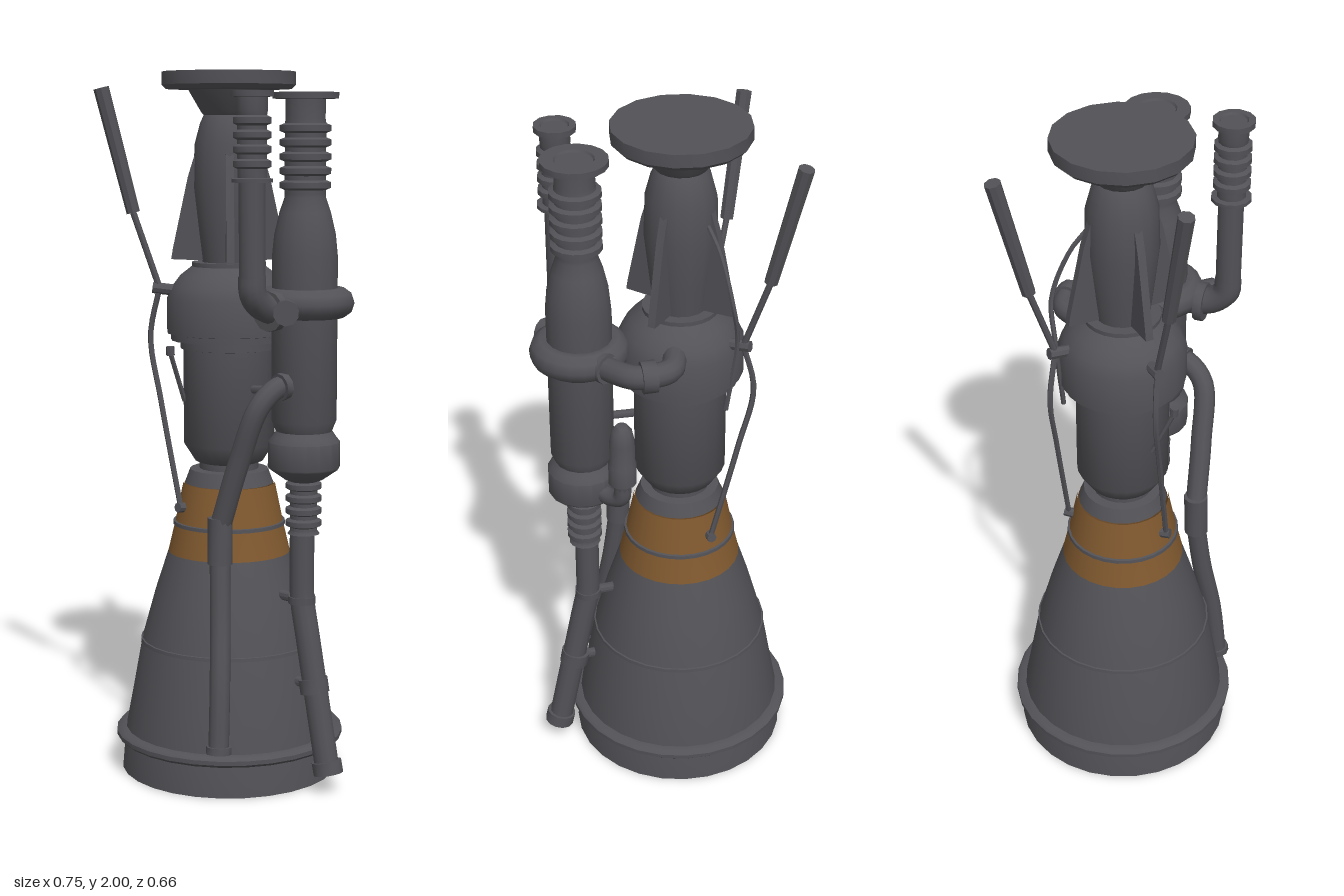
import * as THREE from 'three';
import { toCreasedNormals } from 'three/addons/utils/BufferGeometryUtils.js';

const metal = new THREE.MeshStandardMaterial({ color: 0x525257 });
metal.name = 'dark metal';
const copper = new THREE.MeshStandardMaterial({ color: 0x80592f });
copper.name = 'copper brown';

const V = (x, y, z) => new THREE.Vector3(x, y, z);

export function createModel() {
  const model = new THREE.Group();
  model.name = 'rocketEngine';

  const add = (name, geo, mat = metal, parent = model) => {
    const mesh = new THREE.Mesh(toCreasedNormals(geo, 0.7), mat);
    mesh.name = name;
    parent.add(mesh);
    return mesh;
  };
  // Turned part: [radius, height] pairs, bottom to top
  const lathe = (name, pts, x, z, segs = 20, mat = metal) => {
    const mesh = add(name, new THREE.LatheGeometry(pts.map(p => new THREE.Vector2(p[0], p[1])), segs), mat);
    mesh.position.set(x, 0, z);
    return mesh;
  };
  // Straight capped bar between two points
  const rod = (name, a, b, ra, rb = ra, segs = 10) => {
    const d = b.clone().sub(a);
    const mesh = add(name, new THREE.CylinderGeometry(rb, ra, d.length(), segs));
    mesh.position.copy(a).add(b).multiplyScalar(0.5);
    mesh.quaternion.setFromUnitVectors(V(0, 1, 0), d.normalize());
    return mesh;
  };
  const pipe = (name, pts, r, steps = 20, segs = 10) =>
    add(name, new THREE.TubeGeometry(new THREE.CatmullRomCurve3(pts, false, 'centripetal'), steps, r, segs));
  // Bellows profile with rounded ribs
  const bellows = (y0, y1, n, rIn, rOut) => {
    const out = [], h = (y1 - y0) / n;
    for (let i = 0; i < n; i++) {
      const y = y0 + i * h;
      out.push([rIn, y], [rIn, y + h * 0.25], [rOut, y + h * 0.4], [rOut, y + h * 0.8], [rIn, y + h * 0.95]);
    }
    return out;
  };

  const cx = -0.05, px = 0.235, dz = 0.212;

  // Nozzle bell
  lathe('nozzleSkirt', [[0.314, 0], [0.305, 0.105], [0.283, 0.22], [0.254, 0.38], [0.215, 0.52], [0.176, 0.64]], cx, 0, 28);
  lathe('nozzleBand', [[0.176, 0.64], [0.157, 0.72], [0.132, 0.84]], cx, 0, 28, copper);
  lathe('nozzleLining', [[0.07, 0.88], [0.128, 0.84], [0.171, 0.64], [0.249, 0.38], [0.3, 0.105], [0.314, 0]], cx, 0, 28, copper);
  lathe('nozzleHoop', [[0.304, 0.09], [0.322, 0.092], [0.33, 0.1], [0.33, 0.112], [0.322, 0.12], [0.3, 0.122]], cx, 0, 28);
  for (const [y, r] of [[0.38, 0.258], [0.725, 0.162]])
    lathe('nozzleSeam', [[r - 0.01, y - 0.007], [r, y - 0.005], [r - 0.001, y + 0.005], [r - 0.012, y + 0.007]], cx, 0, 28);

  // Combustion chamber and injector dome
  lathe('combustionChamber', [[0.1, 0.838], [0.127, 0.84], [0.112, 0.88], [0.085, 0.882], [0.085, 0.9], [0.098, 0.905],
    [0.13, 0.955], [0.13, 1.25], [0.165, 1.252], [0.165, 1.27], [0.176, 1.272], [0.176, 1.37], [0.16, 1.405],
    [0.137, 1.435], [0.105, 1.46], [0.105, 1.472], [0, 1.472]], cx, 0, 22);
  lathe('chamberHoop', [[0.12, 1.225], [0.138, 1.228], [0.138, 1.25]], cx, 0, 22);

  // Gimbal post and mounting plate
  lathe('gimbalPost', [[0.075, 1.47], [0.085, 1.55], [0.1, 1.68], [0.096, 1.8], [0.08, 1.86], [0.07, 1.88],
    [0.078, 1.89], [0.113, 1.95], [0.175, 1.952], [0.187, 1.964], [0.187, 2], [0, 2]], cx, 0, 16);

  // Four diagonal gussets on the post
  const fin = new THREE.Shape([[0.04, 1.475], [0.163, 1.48], [0.158, 1.51], [0.115, 1.71], [0.09, 1.79], [0.04, 1.79]]
    .map(p => new THREE.Vector2(p[0], p[1])));
  for (let i = 0; i < 4; i++) {
    const g = new THREE.ExtrudeGeometry(fin, { depth: 0.022, bevelEnabled: false });
    g.translate(0, 0, -0.011);
    const m = add('gusset', g);
    m.position.x = cx;
    m.rotation.y = Math.PI / 4 + i * Math.PI / 2;
  }

  // Turbopump stack
  lathe('turbopump', [[0, 0.73], [0.045, 0.73], ...bellows(0.74, 0.88, 4, 0.038, 0.05), [0.055, 0.885], [0.098, 0.915],
    [0.1, 0.92], [0.1, 0.99], [0.088, 1.005], [0.078, 1.02], [0.09, 1.05], [0.09, 1.5], [0.084, 1.56], [0.07, 1.62],
    [0.056, 1.66], ...bellows(1.67, 1.86, 5, 0.056, 0.07), [0.054, 1.87], [0.054, 1.922], [0.09, 1.923],
    [0.09, 1.94], [0.054, 1.94], [0.05, 1.934], [0, 1.934]], px, 0, 16);
  const volute = add('pumpVolute', new THREE.TorusGeometry(0.095, 0.042, 10, 22).rotateX(Math.PI / 2));
  volute.position.set(px, 1.375, 0);

  // Discharge pipe below the pump
  pipe('dischargePipe', [V(0.23, 0.74, 0), V(0.23, 0.62, 0), V(0.232, 0.54, 0), V(0.252, 0.44, 0), V(0.33, 0.06, 0)], 0.035, 24, 12);
  rod('dischargeCollar', V(0.23, 0.53, 0), V(0.23, 0.55, 0), 0.039, 0.039, 12);
  rod('dischargeClamp', V(0.273, 0.32, 0), V(0.281, 0.28, 0), 0.042, 0.042, 12);
  rod('dischargeEnd', V(0.325, 0.09, 0), V(0.333, 0.055, 0), 0.043, 0.043, 12);
  for (const y of [0.54, 0.3])
    rod('dischargeBracket', V(cx + 0.2, y, 0), V(0.25, y, 0), 0.014);

  // Front inlet duct with bellows and elbow into the pump
  lathe('inletDuct', [[0.036, 1.42], [0.036, 1.703], [0.056, 1.704], [0.056, 1.714], [0.04, 1.716],
    ...bellows(1.73, 1.88, 4, 0.04, 0.052), [0.042, 1.89], [0.042, 1.925], [0.058, 1.926], [0.058, 1.942],
    [0.04, 1.942], [0.036, 1.936], [0, 1.936]], px, dz, 12);
  pipe('inletElbow', [V(px, 1.46, dz), V(px, 1.41, dz - 0.004), V(px, 1.375, dz - 0.04), V(px, 1.36, 0.12), V(px, 1.36, 0.06)], 0.038, 18, 12);
  rod('inletFlange', V(px, 1.36, 0.125), V(px, 1.36, 0.15), 0.055, 0.055, 12);
  rod('voluteOutlet', V(0.25, 1.36, 0.09), V(0.305, 1.36, 0.155), 0.035, 0.035, 10);

  // Exhaust pipe running down the bell
  pipe('exhaustUpper', [V(0.24, 1.15, 0.04), V(0.23, 1.15, 0.1), V(0.21, 1.1, 0.155), V(0.15, 0.94, 0.173), V(0.092, 0.77, 0.18)], 0.03, 24);
  rod('exhaustFlange', V(0.236, 1.152, 0.08), V(0.233, 1.15, 0.1), 0.038);
  rod('exhaustJoint', V(0.086, 0.78, 0.18), V(0.088, 0.65, 0.183), 0.035, 0.035, 12);
  pipe('exhaustLower', [V(0.088, 0.66, 0.183), V(0.105, 0.5, 0.2), V(0.13, 0.32, 0.228), V(0.142, 0.14, 0.246)], 0.029);
  rod('exhaustEnd', V(0.142, 0.15, 0.245), V(0.143, 0.13, 0.247), 0.036);

  // Rear crossover from pump to injector dome
  pipe('crossoverPipe', [V(0.21, 1.37, -0.07), V(0.18, 1.375, -0.13), V(0.135, 1.385, -0.195), V(0.085, 1.39, -0.21),
    V(0.035, 1.39, -0.195), V(0.0, 1.39, -0.12)], 0.033, 28, 12);
  rod('crossoverCollar', V(0.078, 1.388, -0.208), V(0.118, 1.387, -0.205), 0.044, 0.044, 12);
  rod('crossoverFlange', V(0.2, 1.372, -0.098), V(0.187, 1.374, -0.12), 0.042, 0.042, 12);

  // Gas generator canister behind the pump
  lathe('generatorCanister', [[0, 0.99], [0.022, 0.99], [0.026, 1.01], [0.04, 1.02], [0.04, 1.08], [0.036, 1.09],
    [0.036, 1.15], [0.028, 1.19], [0.016, 1.205], [0, 1.208]], 0.158, -0.145, 12);
  pipe('generatorElbow', [V(0.158, 1.01, -0.145), V(0.16, 0.965, -0.14), V(0.18, 0.945, -0.11), V(0.21, 0.945, -0.05)], 0.025, 16);
  rod('pumpBrace', V(0.04, 1.12, 0.03), V(0.2, 1.13, 0.03), 0.012);
  rod('pumpBrace', V(0.06, 1.36, 0), V(0.17, 1.37, 0), 0.035);

  // Gimbal actuators and their lines, mirrored front to back
  for (const s of [1, -1]) {
    const top = V(-0.302, 1.955, s * 0.25), mid = V(-0.24, 1.61, s * 0.19), foot = V(-0.185, 1.4, s * 0.143);
    rod('actuatorCylinder', mid, top, 0.019, 0.022, 8);
    rod('actuatorRod', foot, mid, 0.009, 0.009, 8);
    rod('actuatorLug', V(-0.14, 1.39, s * 0.1), V(-0.2, 1.4, s * 0.155), 0.016, 0.016, 8);
    pipe('actuatorLine', [foot, V(-0.215, 1.26, s * 0.15), V(-0.175, 1.08, s * 0.15), V(-0.1, 0.78, s * 0.148)], 0.008, 20, 6);
    rod('lineFitting', V(-0.098, 0.775, s * 0.12), V(-0.1, 0.78, s * 0.16), 0.014, 0.014, 8);
  }
  pipe('postLine', [V(-0.1, 1.74, -0.08), V(-0.12, 1.68, -0.12), V(-0.145, 1.54, -0.165), V(-0.165, 1.42, -0.15), V(-0.14, 1.2, -0.14)], 0.007, 20, 6);

  // Igniter stub on the chamber
  rod('igniterStem', V(-0.12, 1.08, 0.11), V(-0.115, 1.22, 0.17), 0.007, 0.007, 6);
  rod('igniterHead', V(-0.115, 1.215, 0.17), V(-0.115, 1.24, 0.172), 0.012, 0.012, 8);

  return model;
}
